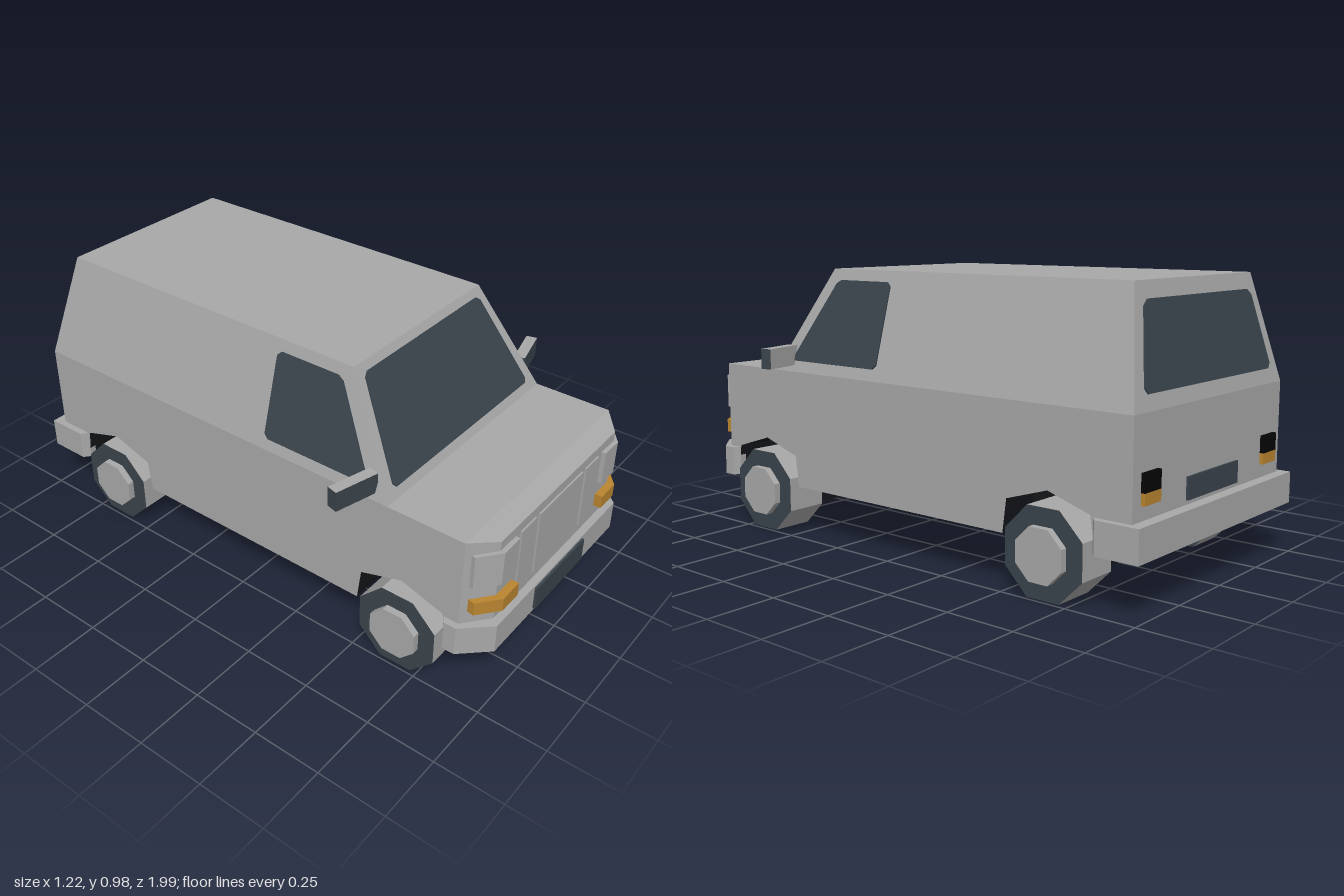
import * as THREE from 'three';

const make = (name, color) => {
  const m = new THREE.MeshStandardMaterial({ color, flatShading: true });
  m.name = name;
  return m;
};

export function createModel() {
  const van = new THREE.Group();
  van.name = 'van';
  const paint = make('grey paint', 0xa8a8a8);
  const glass = make('dark glass', 0x3a444c);
  const under = make('underbody black', 0x14171a);
  const black = make('lamp black', 0x050505);
  const amber = make('amber lamp', 0xb98530);

  const add = (name, geo, mat) => {
    const mesh = new THREE.Mesh(geo, mat);
    mesh.name = name;
    van.add(mesh);
    return mesh;
  };
  // box given by its limits
  const box = (name, mat, x0, x1, y0, y1, z0, z1) => {
    const g = new THREE.BoxGeometry(x1 - x0, y1 - y0, z1 - z0);
    g.translate((x0 + x1) / 2, (y0 + y1) / 2, (z0 + z1) / 2);
    return add(name, g, mat);
  };
  // outline in plan (x, z) raised from y0 to y1
  const plan = (pts, y0, y1) => {
    const shape = new THREE.Shape(pts.map(([x, z]) => new THREE.Vector2(x, -z)));
    const g = new THREE.ExtrudeGeometry(shape, { depth: y1 - y0, bevelEnabled: false });
    return g.rotateX(-Math.PI / 2).translate(0, y0, 0);
  };
  // thin plate with cut corners on any plane; corners run anticlockwise seen from outside
  const plate = (name, mat, corners, cut = 0.015) => {
    const p = corners.map(c => new THREE.Vector3(...c));
    const u = p[1].clone().sub(p[0]).normalize();
    const n = u.clone().cross(p[2].clone().sub(p[0])).normalize();
    const v = n.clone().cross(u);
    const flat = p.map(q => {
      const d = q.clone().sub(p[0]);
      return new THREE.Vector2(d.dot(u), d.dot(v));
    });
    const pts = [];
    flat.forEach((q, i) => {
      for (const o of [flat[(i + 3) % 4], flat[(i + 1) % 4]]) {
        pts.push(q.clone().add(o.clone().sub(q).setLength(cut)));
      }
    });
    const g = new THREE.ExtrudeGeometry(new THREE.Shape(pts), { depth: 0.005, bevelEnabled: false });
    g.applyMatrix4(new THREE.Matrix4().makeBasis(u, v, n).setPosition(p[0]));
    return add(name, g, mat);
  };
  const mirrorPts = pts => pts.map(([x, ...r]) => [-x, ...r]);

  // lower body: side profile with wheel arches, drawn in (z, y)
  const axles = [0.665, -0.655];
  const arch = c => [[c - 0.175, 0.18], [c - 0.16, 0.295], [c, 0.345], [c + 0.16, 0.295], [c + 0.175, 0.18]];
  const profile = [[-0.96, 0.18], ...arch(axles[1]), ...arch(axles[0]), [0.885, 0.18], [0.885, 0.61], [-0.96, 0.61]];
  const lower = new THREE.ExtrudeGeometry(
    new THREE.Shape(profile.map(([z, y]) => new THREE.Vector2(-z, y))), { depth: 0.93, bevelEnabled: false });
  lower.translate(0, 0, -0.465).rotateY(Math.PI / 2);
  // floor and arch linings are black, everything else painted
  const pos = lower.attributes.position;
  lower.clearGroups();
  for (let i = 0; i < pos.count; i += 3) {
    const mean = k => (pos.getComponent(i, k) + pos.getComponent(i + 1, k) + pos.getComponent(i + 2, k)) / 3;
    const inside = Math.abs(mean(0)) < 0.46 && mean(1) < 0.36 && Math.abs(mean(2)) < 0.95;
    lower.addGroup(i, 3, inside ? 1 : 0);
  }
  add('lowerBody', lower, [paint, under]);

  // nose with cut corners and a slightly falling top
  const nose = plan([[-0.465, 0.885], [-0.375, 0.957], [0.375, 0.957], [0.465, 0.885]], 0.2, 0.61);
  const np = nose.attributes.position;
  for (let i = 0; i < np.count; i++) {
    if (np.getY(i) > 0.6 && np.getZ(i) > 0.9) np.setY(i, 0.595);
  }
  add('nose', nose, paint);
  add('noseFloor', plan([[-0.45, 0.88], [-0.36, 0.95], [0.36, 0.95], [0.45, 0.88]], 0.185, 0.199), under);

  // cabin: box tapered towards the roof
  const cabin = new THREE.BoxGeometry(2, 1, 2);
  const cp = cabin.attributes.position;
  for (let i = 0; i < cp.count; i++) {
    const top = cp.getY(i) > 0, front = cp.getZ(i) > 0;
    cp.setXYZ(i, Math.sign(cp.getX(i)) * (top ? 0.36 : 0.465), top ? 0.985 : 0.61,
      front ? (top ? 0.385 : 0.6) : (top ? -0.885 : -0.96));
  }
  cabin.computeVertexNormals();
  add('cabin', cabin, paint);

  // windows, placed on the sloping cabin walls
  const wall = (y, a, b) => a + (b - a) * (y - 0.61) / 0.375;
  const fz = y => wall(y, 0.6, 0.385), rz = y => wall(y, -0.96, -0.885), sx = y => wall(y, 0.465, 0.36);
  plate('windscreen', glass, [[-0.41, 0.64, fz(0.64)], [0.41, 0.64, fz(0.64)],
    [0.33, 0.957, fz(0.957)], [-0.33, 0.957, fz(0.957)]]);
  plate('rearWindow', glass, [[0.4, 0.66, rz(0.66)], [-0.4, 0.66, rz(0.66)],
    [-0.33, 0.93, rz(0.93)], [0.33, 0.93, rz(0.93)]], 0.02);
  const side = [[sx(0.65), 0.65, 0.52], [sx(0.65), 0.65, 0.09], [sx(0.945), 0.945, 0.09], [sx(0.945), 0.945, 0.35]];
  plate('leftWindow', glass, side);
  plate('rightWindow', glass, mirrorPts(side).reverse());

  // grille panels
  box('grilleCentre', paint, -0.143, 0.143, 0.322, 0.56, 0.95, 0.963);

  // bumpers and number plates
  const half = [[0.4, 0.985], [0.49, 0.89], [0.49, 0.845], [0.465, 0.83], [0.44, 0.83], [0.44, 0.87], [0.36, 0.94]];
  add('frontBumper', plan([...half, ...mirrorPts(half).reverse()], 0.18, 0.288), paint);
  const rear = [[0.49, -1], [0.49, -0.845], [0.465, -0.825], [0.44, -0.825], [0.44, -0.93]];
  add('rearBumper', plan([...rear, ...mirrorPts(rear).reverse()], 0.18, 0.29), paint);
  box('frontPlate', glass, -0.162, 0.162, 0.192, 0.279, 0.98, 0.994);
  box('rearPlate', glass, -0.16, 0.16, 0.305, 0.38, -0.968, -0.955);

  // wheel well core and axles
  box('wellCore', under, -0.32, 0.32, 0.185, 0.4, -0.87, 0.87);
  for (const z of axles) box('axle', under, -0.305, 0.305, 0.08, 0.19, z - 0.1, z + 0.1);

  // octagonal wheels standing on a flat side
  const drum = (r, w) => new THREE.CylinderGeometry(r, r, w, 8, 1, false, Math.PI / 8).rotateZ(Math.PI / 2);

  for (const s of [1, -1]) {
    const sidePart = (name, pts, y0, y1, mat) =>
      add(name, plan(s > 0 ? pts : mirrorPts(pts), y0, y1), mat);
    const sideBox = (name, mat, x0, x1, ...rest) =>
      box(name, mat, s > 0 ? x0 : -x1, s > 0 ? x1 : -x0, ...rest);

    for (const z of axles) {
      add('wheel', drum(0.16, 0.155), [paint, glass, glass]).position.set(s * 0.4075, 0.148, z);
      add('hub', drum(0.095, 0.03), paint).position.set(s * 0.495, 0.148, z);
    }
    sideBox('grilleSide', paint, 0.165, 0.255, 0.322, 0.56, 0.95, 0.963);
    // lamps wrapping round the nose corners
    sidePart('headlamp', [[0.285, 0.95], [0.285, 0.973], [0.375, 0.973], [0.45, 0.915], [0.445, 0.895], [0.37, 0.95]],
      0.435, 0.56, paint);
    sidePart('indicator', [[0.283, 0.95], [0.283, 0.985], [0.375, 0.985], [0.45, 0.925], [0.445, 0.895], [0.37, 0.95]],
      0.335, 0.384, amber);
    sideBox('tailLamp', black, 0.33, 0.42, 0.376, 0.436, -0.974, -0.955);
    sideBox('tailIndicator', amber, 0.33, 0.42, 0.338, 0.376, -0.974, -0.955);
    // door mirror, swept backwards
    const mirror = add('mirror', new THREE.BoxGeometry(0.165, 0.072, 0.04),
      [glass, glass, paint, glass, glass, paint]);
    mirror.position.set(s * 0.523, 0.67, 0.51);
    mirror.rotation.y = s * 0.25;
  }
  return van;
}
